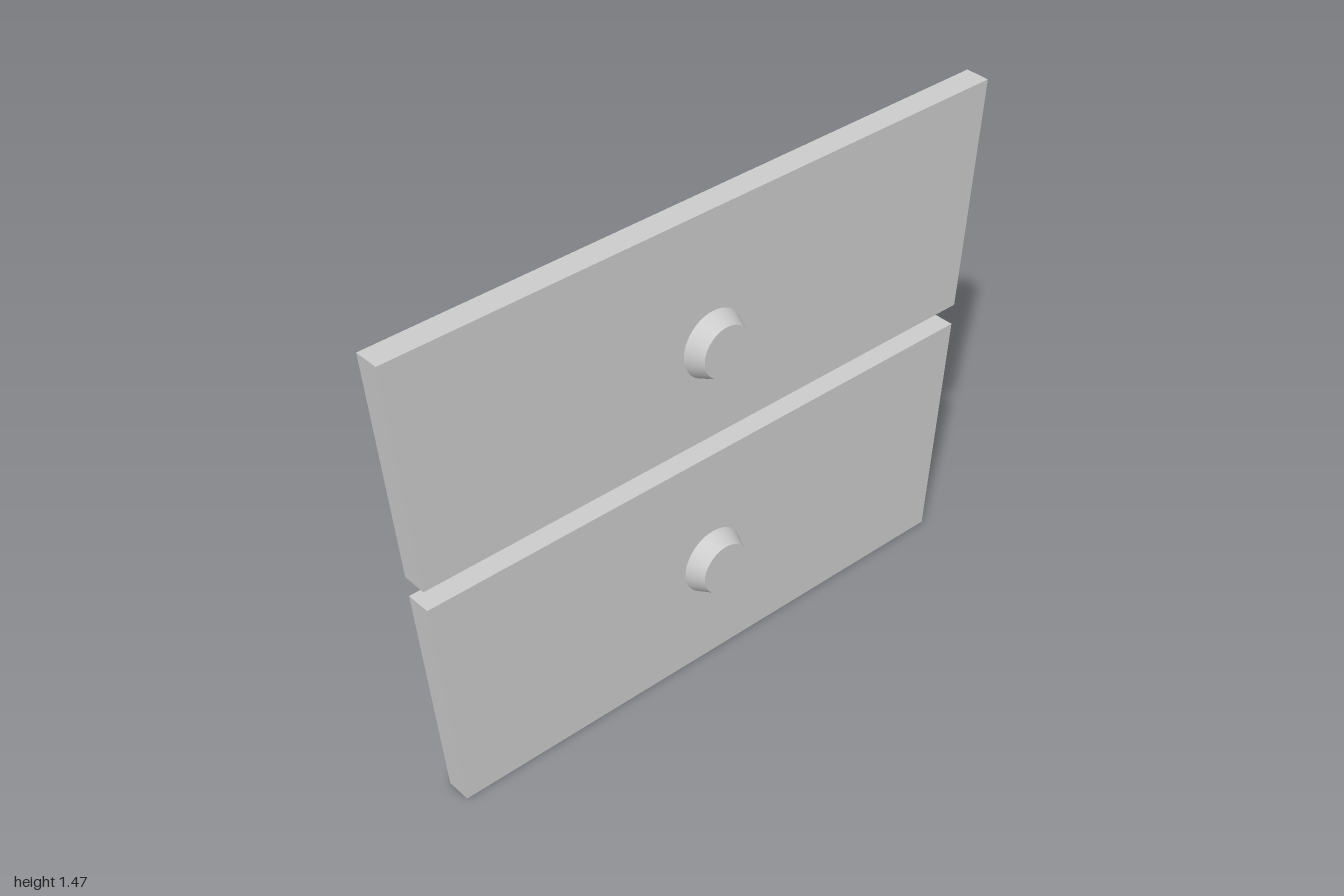
import * as THREE from 'three';

const BACK = -0.064, FACE = 0.011, TIP = 0.064;

export function createModel() {
  const group = new THREE.Group();
  const material = new THREE.MeshStandardMaterial({ color: 0xcccccc });

  // Tapered drawer front with a round knob
  function drawer(name, y0, y1, halfBottom, halfTop, knobY) {
    const part = new THREE.Group();
    part.name = name;

    const outline = new THREE.Shape([
      new THREE.Vector2(-halfBottom, y0),
      new THREE.Vector2(halfBottom, y0),
      new THREE.Vector2(halfTop, y1),
      new THREE.Vector2(-halfTop, y1),
    ]);
    const panel = new THREE.Mesh(
      new THREE.ExtrudeGeometry(outline, { depth: FACE - BACK, bevelEnabled: false }),
      material
    );
    panel.name = 'panel';
    panel.position.z = BACK;

    // Knob narrows towards the front
    const knob = new THREE.Mesh(
      new THREE.CylinderGeometry(0.077, 0.101, TIP - FACE, 48).rotateX(Math.PI / 2),
      material
    );
    knob.name = 'knob';
    knob.position.set(0.008, knobY, (FACE + TIP) / 2);

    part.add(panel, knob);
    group.add(part);
  }

  drawer('lowerDrawer', 0, 0.702, 0.866, 0.931, 0.336);
  drawer('upperDrawer', 0.766, 1.467, 0.936, 1, 1.063);
  return group;
}
